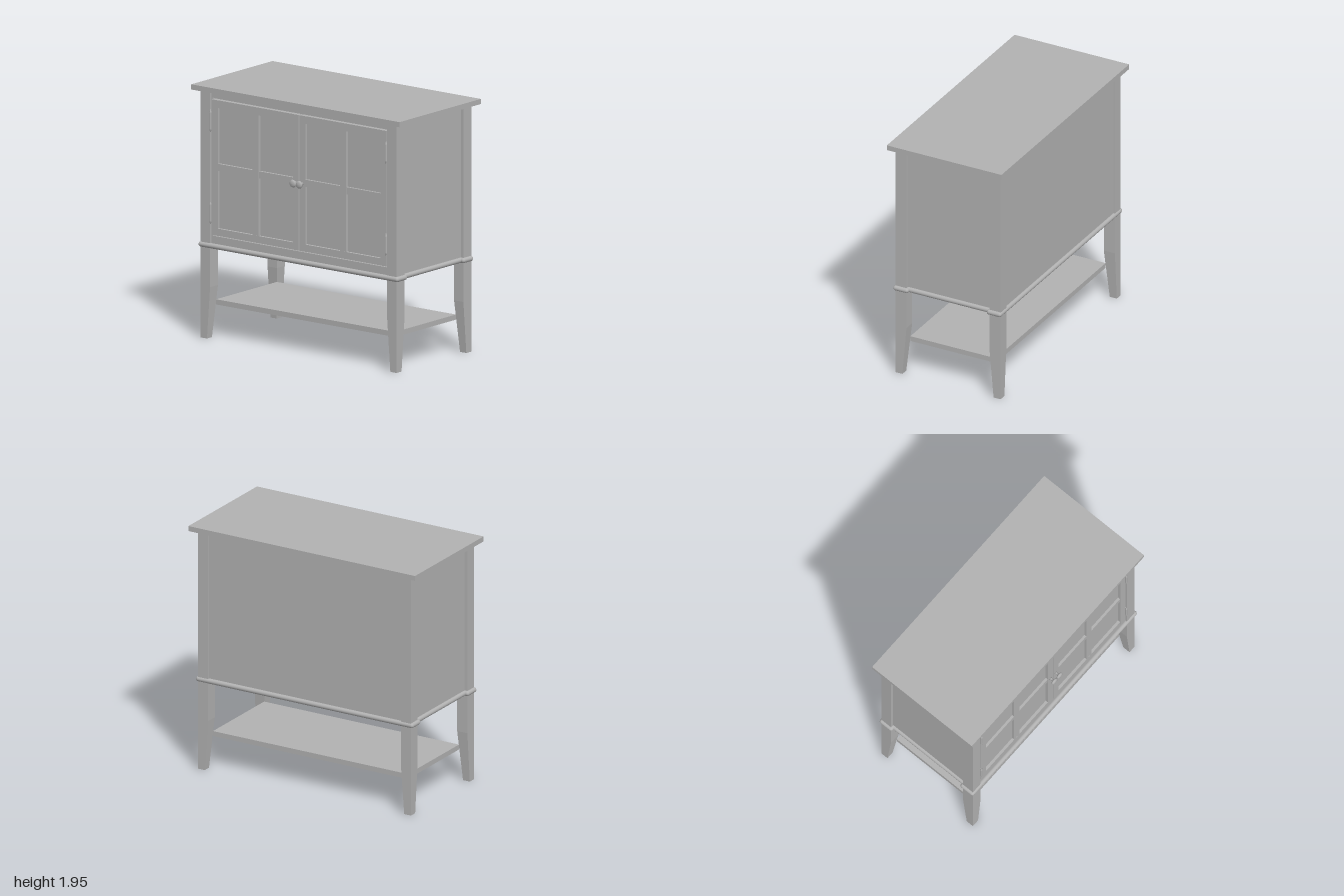
import * as THREE from 'three';

const paint = new THREE.MeshStandardMaterial({ color: 0xb2b2b2 });
paint.name = 'grey paint';

function add(parent, name, geometry, x = 0, y = 0, z = 0) {
  const mesh = new THREE.Mesh(geometry, paint);
  mesh.name = name;
  mesh.position.set(x, y, z);
  parent.add(mesh);
  return mesh;
}

// Box given by its limits on each axis
function block(parent, name, x0, x1, y0, y1, z0, z1) {
  return add(parent, name, new THREE.BoxGeometry(x1 - x0, y1 - y0, z1 - z0),
    (x0 + x1) / 2, (y0 + y1) / 2, (z0 + z1) / 2);
}

// Corner post: square above, inner faces tapering below y = 0.4
function legGeometry(sx, sz) {
  const g = new THREE.BoxGeometry(1, 2, 1, 1, 2, 1);
  const p = g.attributes.position;
  for (let i = 0; i < p.count; i++) {
    const level = Math.round(p.getY(i)) + 1;
    const foot = level === 0;
    const outerX = p.getX(i) * sx > 0, outerZ = p.getZ(i) * sz > 0;
    p.setXYZ(i,
      sx * (outerX ? 0.94 : foot ? 0.88 : 0.85),
      [0, 0.4, 1.91][level],
      sz * (outerZ ? 0.45 : foot ? 0.39 : 0.355));
  }
  const flat = g.toNonIndexed();
  flat.computeVertexNormals();
  return flat;
}

// Rounded moulding following a closed outline
function buildBead(parent) {
  const bead = new THREE.Group();
  bead.name = 'beadMoulding';
  const outline = [
    [0.94, 0.445], [0.94, 0.355], [0.915, 0.355], [0.915, -0.355], [0.94, -0.355], [0.94, -0.44],
    [-0.94, -0.44], [-0.94, -0.355], [-0.915, -0.355], [-0.915, 0.355], [-0.94, 0.355], [-0.94, 0.445],
  ];
  outline.forEach(([x, z], i) => {
    const [nx, nz] = outline[(i + 1) % outline.length];
    const dir = new THREE.Vector3(nx - x, 0, nz - z);
    const rod = add(bead, 'beadRun', new THREE.CylinderGeometry(0.02, 0.02, dir.length(), 16, 1, true),
      (x + nx) / 2, 0.72, (z + nz) / 2);
    rod.quaternion.setFromUnitVectors(new THREE.Vector3(0, 1, 0), dir.normalize());
    add(bead, 'beadCorner', new THREE.SphereGeometry(0.02, 16, 10), x, 0.72, z);
  });
  parent.add(bead);
}

// Framed door with four recessed panes, knob and hinges
function buildDoor(parent, s) {
  const door = new THREE.Group();
  door.name = s > 0 ? 'leftDoor' : 'rightDoor';
  const bar = (name, a, b, y0, y1, z0, z1) =>
    block(door, name, Math.min(s * a, s * b), Math.max(s * a, s * b), y0, y1, z0, z1);
  const back = 0.405, front = 0.445;
  bar('innerStile', 0.003, 0.06, 0.805, 1.85, back, front);
  bar('outerStile', 0.78, 0.838, 0.805, 1.85, back, front);
  bar('topRail', 0.06, 0.78, 1.79, 1.85, back, front - 0.002);
  bar('bottomRail', 0.06, 0.78, 0.805, 0.86, back, front - 0.002);
  bar('middleRail', 0.06, 0.78, 1.305, 1.36, back, front - 0.004);
  bar('mullion', 0.39, 0.45, 0.86, 1.79, back, front - 0.003);
  bar('panes', 0.06, 0.78, 0.86, 1.79, back, 0.422);

  // Turned knob
  const profile = [[0, 0], [0.014, 0], [0.009, 0.008], [0.009, 0.024], [0.026, 0.03],
    [0.03, 0.038], [0.026, 0.046], [0.014, 0.05], [0, 0.051]].map(([r, h]) => new THREE.Vector2(r, h));
  const knob = add(door, 'knob', new THREE.LatheGeometry(profile, 24), s * 0.03, 1.325, 0.444);
  knob.rotation.x = Math.PI / 2;

  // Hinge barrels with pointed finials and a leaf
  for (const y of [0.975, 1.685]) {
    add(door, 'hingeBarrel', new THREE.CylinderGeometry(0.009, 0.009, 0.13, 12), s * 0.842, y, 0.454);
    for (const e of [-1, 1])
      add(door, 'hingeTip', new THREE.CylinderGeometry(e > 0 ? 0.003 : 0.009, e > 0 ? 0.009 : 0.003, 0.02, 12),
        s * 0.842, y + e * 0.075, 0.454);
    bar('hingeLeaf', 0.834, 0.85, y - 0.06, y + 0.06, 0.43, 0.449);
  }
  parent.add(door);
}

export function createModel() {
  const cabinet = new THREE.Group();
  cabinet.name = 'cabinet';

  block(cabinet, 'tableTop', -1, 1, 1.91, 1.95, -0.49, 0.49);
  block(cabinet, 'lowerShelf', -0.86, 0.86, 0.25, 0.29, -0.365, 0.365);

  for (const sx of [-1, 1]) {
    for (const sz of [-1, 1]) add(cabinet, 'leg', legGeometry(sx, sz));
    block(cabinet, 'sidePanel', Math.min(sx * 0.86, sx * 0.915), Math.max(sx * 0.86, sx * 0.915),
      0.71, 1.91, -0.36, 0.36);
    // Narrow strip between post and door
    block(cabinet, 'doorJamb', sx * 0.846 - 0.006, sx * 0.846 + 0.006, 0.74, 1.91, 0.38, 0.435);
  }

  // Case: floor, back and face rails
  block(cabinet, 'caseFloor', -0.9, 0.9, 0.705, 0.74, -0.43, 0.43);
  block(cabinet, 'backPanel', -0.855, 0.855, 0.72, 1.91, -0.438, -0.41);
  block(cabinet, 'backTopRail', -0.855, 0.855, 1.885, 1.91, -0.443, -0.43);
  block(cabinet, 'frontTopRail', -0.85, 0.85, 1.862, 1.91, 0.39, 0.435);
  block(cabinet, 'frontBottomRail', -0.85, 0.85, 0.72, 0.797, 0.39, 0.435);
  block(cabinet, 'doorBacking', -0.85, 0.85, 0.74, 1.9, 0.385, 0.404);

  buildBead(cabinet);
  for (const s of [-1, 1]) buildDoor(cabinet, s);
  return cabinet;
}
